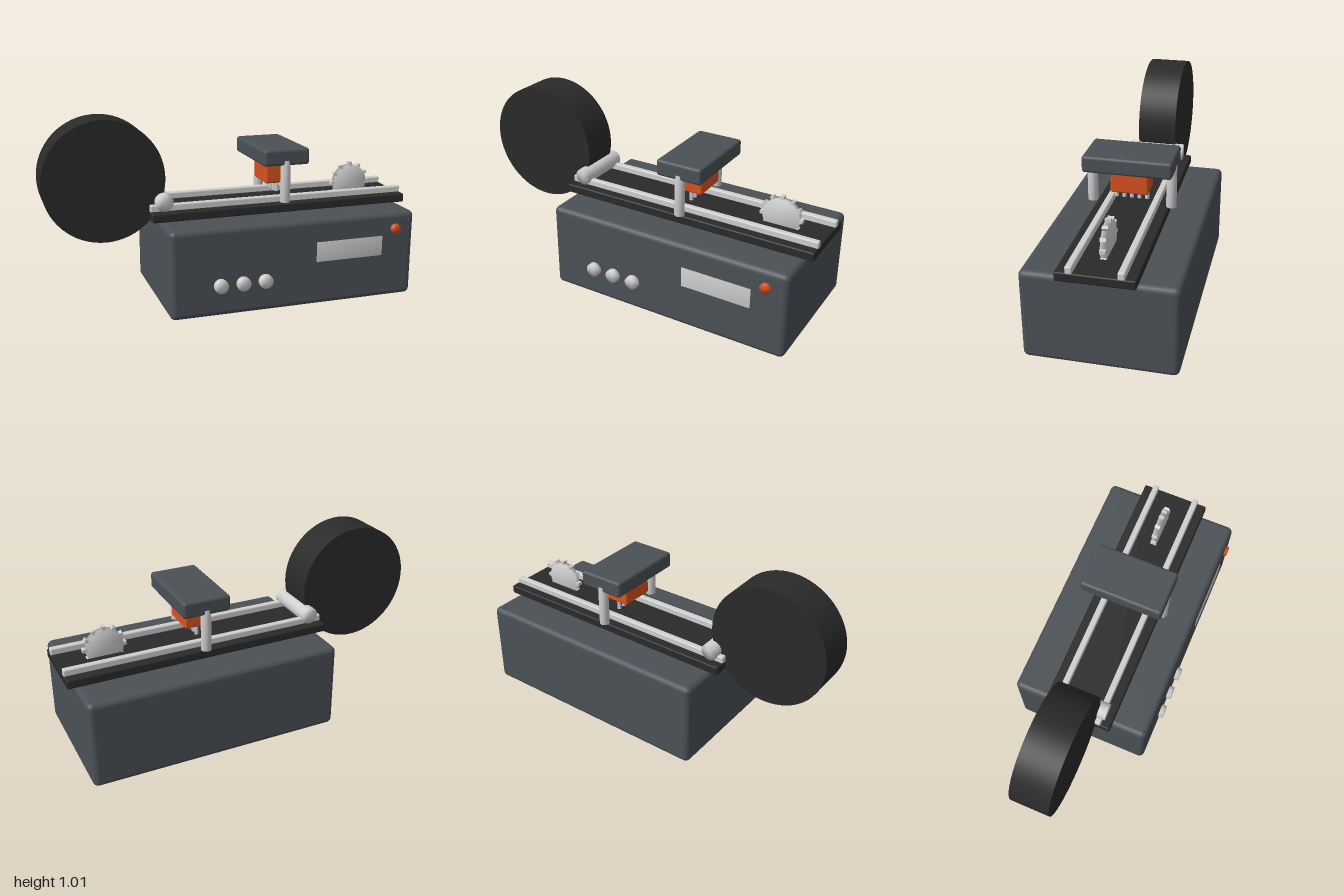
import * as THREE from 'three';
import { mergeVertices } from 'three/addons/utils/BufferGeometryUtils.js';
import { RoundedBoxGeometry } from 'three/addons/geometries/RoundedBoxGeometry.js';

const material = (name, color) => {
  const m = new THREE.MeshStandardMaterial({ color });
  m.name = name;
  return m;
};

// Share vertices so that shading flows over the edges
function soften(geometry) {
  geometry.deleteAttribute('normal');
  geometry.deleteAttribute('uv');
  const merged = mergeVertices(geometry, 1e-4);
  merged.computeVertexNormals();
  return merged;
}

export function createModel() {
  const model = new THREE.Group();
  model.name = 'cuttingMachine';
  const grey = material('slate grey', 0x4b5156);
  const black = material('soft black', 0x2a2a2a);
  const silver = material('silver', 0xcfcfcf);
  const orange = material('orange', 0xd9521f);
  const MID = -0.012; // z of the machine's centre line

  function add(name, geometry, mat, x, y, z, parent = model) {
    const mesh = new THREE.Mesh(geometry, mat);
    mesh.name = name;
    mesh.position.set(x, y, z);
    parent.add(mesh);
    return mesh;
  }
  // Rounded box given by its extents on each axis
  function box(name, mat, [x0, x1], [y0, y1], [z0, z1], radius) {
    const g = new RoundedBoxGeometry(x1 - x0, y1 - y0, z1 - z0, 4, radius);
    return add(name, g, mat, (x0 + x1) / 2, (y0 + y1) / 2, (z0 + z1) / 2);
  }
  // Cylinder lying along z
  const disc = (r, depth, sides) => new THREE.CylinderGeometry(r, r, depth, sides).rotateX(Math.PI / 2);

  // Cabinet and bed
  box('cabinet', grey, [-0.41, 0.96], [0, 0.475], [-0.395, 0.37], 0.03);
  box('bed', black, [-0.45, 1], [0.473, 0.521], [-0.202, 0.179], 0.008);
  for (const side of [-1, 1])
    box('rail', silver, [-0.45, 1], [0.515, 0.555],
      [MID + side * 0.122 - 0.017, MID + side * 0.122 + 0.017], 0.008);

  // Supply reel and feed roller
  add('reel', disc(0.32, 0.213, 64), black, -0.68, 0.69, MID);
  add('feedRoller', soften(disc(0.046, 0.303, 24)), silver, -0.375, 0.567, MID);

  // Press head on two posts, with block and pins below
  box('headCover', grey, [0.142, 0.4], [0.738, 0.827], [-0.242, 0.218], 0.016);
  box('pressBlock', orange, [0.203, 0.338], [0.615, 0.745], [-0.11, 0.086], 0.01);
  for (const side of [-1, 1])
    add('post', soften(new THREE.CylinderGeometry(0.027, 0.027, 0.229, 20)), silver,
      0.271, 0.651, MID + side * 0.207);
  for (let i = -2; i <= 2; i++)
    add('pin', new THREE.CylinderGeometry(0.011, 0.011, 0.06, 12), silver, 0.271, 0.598, MID + i * 0.04);

  // Toothed wheel, half sunk in the bed
  const wheel = new THREE.Group();
  wheel.name = 'toothedWheel';
  wheel.position.set(0.748, 0.567, MID);
  model.add(wheel);
  add('wheelDisc', soften(disc(0.1, 0.03, 40)), silver, 0, 0, 0, wheel);
  const toothGeometry = new THREE.BoxGeometry(0.024, 0.018, 0.03);
  for (let i = 0; i < 12; i++) {
    const a = (i * Math.PI) / 6;
    const tooth = add('tooth', toothGeometry, silver, 0.104 * Math.cos(a), 0.104 * Math.sin(a), 0, wheel);
    tooth.rotation.z = a;
  }

  // Front controls
  for (let i = 0; i < 3; i++)
    add('knob', soften(disc(0.037, 0.04, 24)), silver, -0.147 + i * 0.122, 0.17, 0.377);
  add('button', soften(disc(0.027, 0.03, 24)), orange, 0.845, 0.385, 0.372);
  add('displayPlate', soften(new THREE.BoxGeometry(0.382, 0.108, 0.009)), silver, 0.578, 0.296, 0.3705);

  return model;
}
